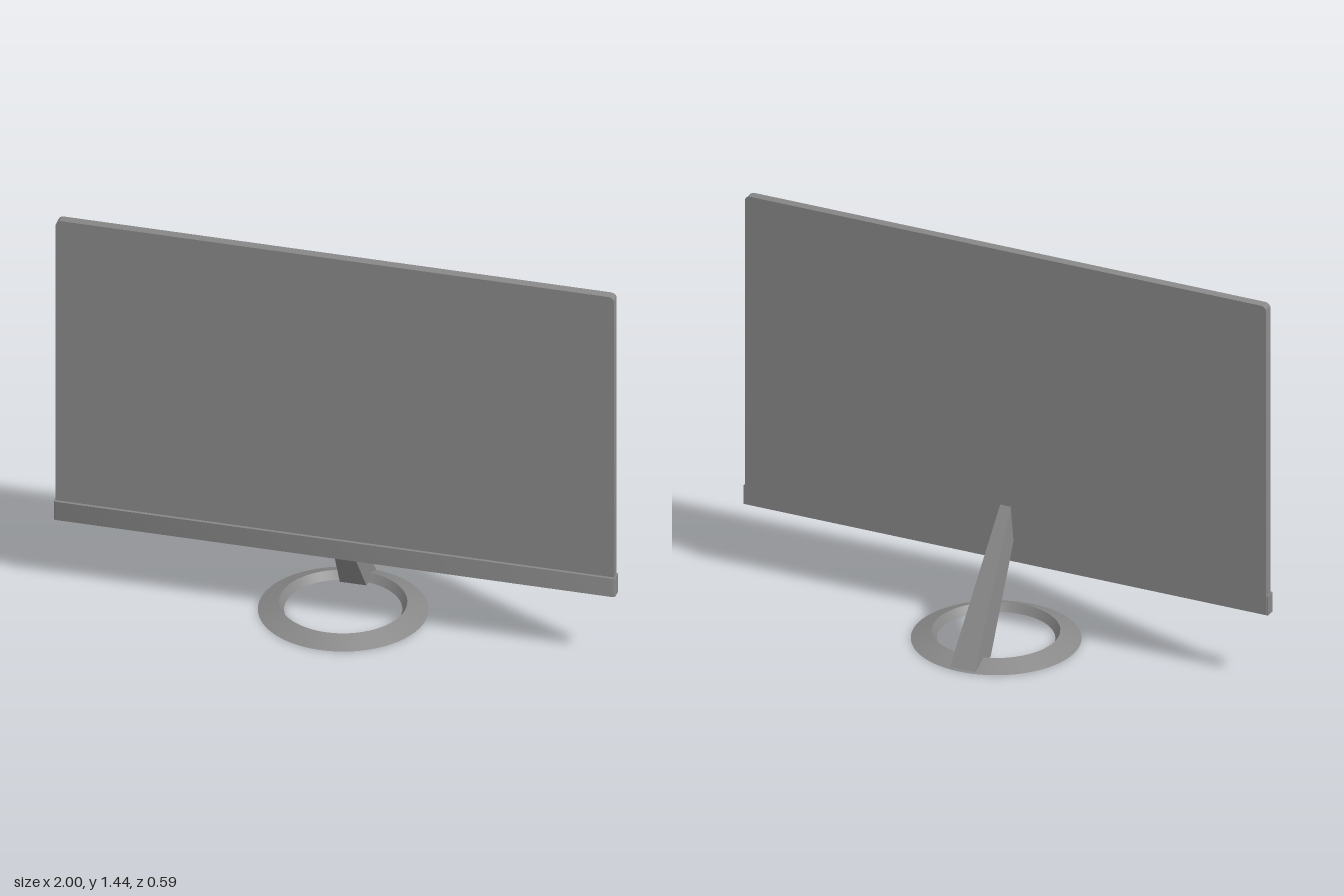
import * as THREE from 'three';
import { toCreasedNormals } from 'three/addons/utils/BufferGeometryUtils.js';

const material = new THREE.MeshStandardMaterial({ color: 0x888888 });

function addPart(group, name, geometry) {
  const mesh = new THREE.Mesh(geometry, material);
  mesh.name = name;
  group.add(mesh);
}

// Thin screen slab with rounded top corners
function panelGeometry() {
  const w = 0.994, bottom = 0.266, top = 1.443, r = 0.02;
  const s = new THREE.Shape();
  s.moveTo(-w, bottom);
  s.lineTo(w, bottom);
  s.lineTo(w, top - r);
  s.absarc(w - r, top - r, r, 0, Math.PI / 2);
  s.lineTo(-w + r, top);
  s.absarc(-w + r, top - r, r, Math.PI / 2, Math.PI);
  s.closePath();
  const g = new THREE.ExtrudeGeometry(s, { depth: 0.034, bevelEnabled: false, curveSegments: 6 });
  g.translate(0, 0, 0.073);
  return toCreasedNormals(g, 0.6);
}

// Raised strip along the lower edge, front corners rounded in plan (x, -z)
function bezelGeometry() {
  const w = 1, back = -0.075, front = -0.118, r = 0.01;
  const s = new THREE.Shape();
  s.moveTo(w, back);
  s.lineTo(-w, back);
  s.lineTo(-w, front + r);
  s.absarc(-w + r, front + r, r, Math.PI, Math.PI * 1.5);
  s.lineTo(w - r, front);
  s.absarc(w - r, front + r, r, Math.PI * 1.5, Math.PI * 2);
  s.closePath();
  const g = new THREE.ExtrudeGeometry(s, { depth: 0.072, bevelEnabled: false, curveSegments: 5 });
  g.rotateX(-Math.PI / 2);
  g.translate(0, 0.265, 0);
  return toCreasedNormals(g, 0.6);
}

// Slanted arm: side profile (z, y), widening towards the foot
function armGeometry() {
  const profile = [[0.075, 0.475], [0.075, 0.345], [-0.16, 0.011], [-0.285, 0.006]];
  const s = new THREE.Shape(profile.map(([z, y]) => new THREE.Vector2(z, y)));
  const g = new THREE.ExtrudeGeometry(s, { depth: 1, bevelEnabled: false });
  g.rotateY(-Math.PI / 2);
  const p = g.attributes.position;
  for (let i = 0; i < p.count; i++) {
    const drop = 0.475 - p.getY(i);
    p.setX(i, p.getX(i) < -0.5 ? -0.02 - drop * 0.079 : 0.02 + drop * 0.038);
  }
  g.computeVertexNormals();
  return g;
}

// Ring foot: triangular section, sloped outside and steep inside
function footGeometry() {
  const section = [[0.203, 0], [0.293, 0], [0.22, 0.03], [0.203, 0]];
  const g = new THREE.LatheGeometry(section.map(([r, y]) => new THREE.Vector2(r, y)), 64);
  return toCreasedNormals(g, 0.3);
}

export function createModel() {
  const group = new THREE.Group();
  group.name = 'monitor';
  addPart(group, 'screenPanel', panelGeometry());
  addPart(group, 'lowerBezel', bezelGeometry());
  addPart(group, 'standArm', armGeometry());
  addPart(group, 'ringFoot', footGeometry());
  return group;
}
